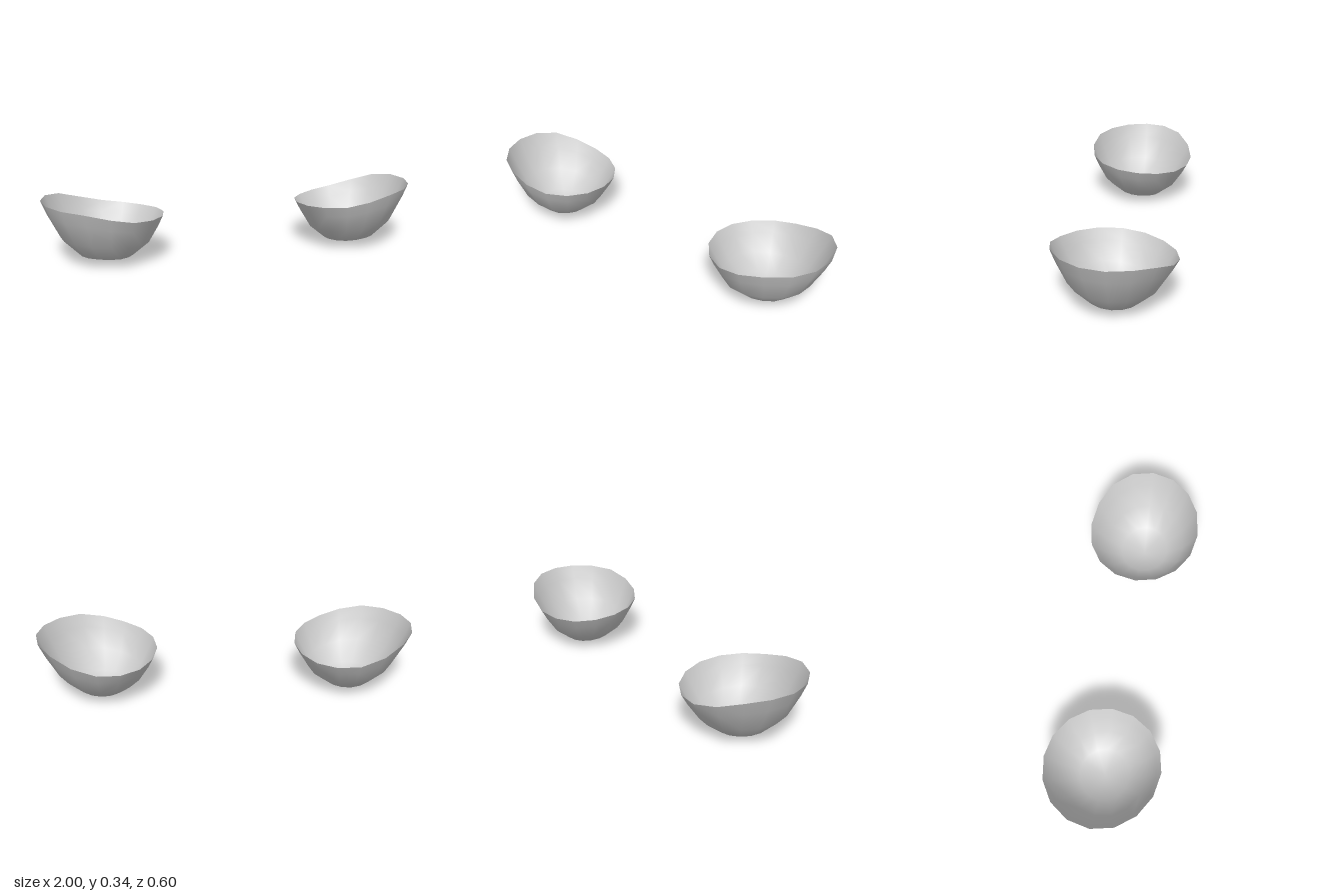
import * as THREE from 'three';

const SIDES = 16;
// Height of the slanted rim, from the outer side round by the front, inner side and back
const RIM_Y = [0.343, 0.342, 0.338, 0.33, 0.302, 0.275, 0.262, 0.253,
  0.245, 0.236, 0.229, 0.232, 0.245, 0.28, 0.322, 0.34];
// Rings from bottom to rim: [radius share, extra at front, height share, extra at front]
const RINGS = [
  [0.44, 0.03, 0.125, 0.025],
  [0.725, 0.035, 0.41, 0.03],
  [0.91, 0.015, 0.78, 0.018],
  [1, 0, 1, 0],
];
const CENTRE_X = 0.67;

// One open cup; side = 1 for +x, -1 for its mirror image
function createCup(side) {
  const positions = [side * CENTRE_X, 0, 0.012];
  const indices = [];
  const face = (a, b, c) => indices.push(...(side > 0 ? [a, b, c] : [a, c, b]));

  for (const [radius, radiusFront, height, heightFront] of RINGS) {
    for (let i = 0; i < SIDES; i++) {
      const angle = (i / SIDES) * Math.PI * 2;
      const c = Math.cos(angle);
      const s = Math.sin(angle);
      const r = radius + radiusFront * s;
      const rx = c > 0 ? 0.33 : 0.3;
      positions.push(
        side * (CENTRE_X + rx * c * r),
        RIM_Y[i] * (height + heightFront * s),
        0.3 * s * r,
      );
    }
  }

  for (let i = 0; i < SIDES; i++) {
    const next = (i + 1) % SIDES;
    face(0, 1 + i, 1 + next); // bottom fan
    for (let j = 0; j < RINGS.length - 1; j++) {
      const a = 1 + j * SIDES + i;
      const b = 1 + j * SIDES + next;
      face(a, a + SIDES, b);
      face(b, a + SIDES, b + SIDES);
    }
  }

  const geometry = new THREE.BufferGeometry();
  geometry.setAttribute('position', new THREE.Float32BufferAttribute(positions, 3));
  geometry.setIndex(indices);
  geometry.computeVertexNormals();
  return geometry;
}

export function createModel() {
  const group = new THREE.Group();
  group.name = 'cupPair';
  const material = new THREE.MeshStandardMaterial({ color: 0xcccccc, side: THREE.DoubleSide });
  for (const side of [1, -1]) {
    const cup = new THREE.Mesh(createCup(side), material);
    cup.name = side > 0 ? 'leftCup' : 'rightCup';
    group.add(cup);
  }
  return group;
}
